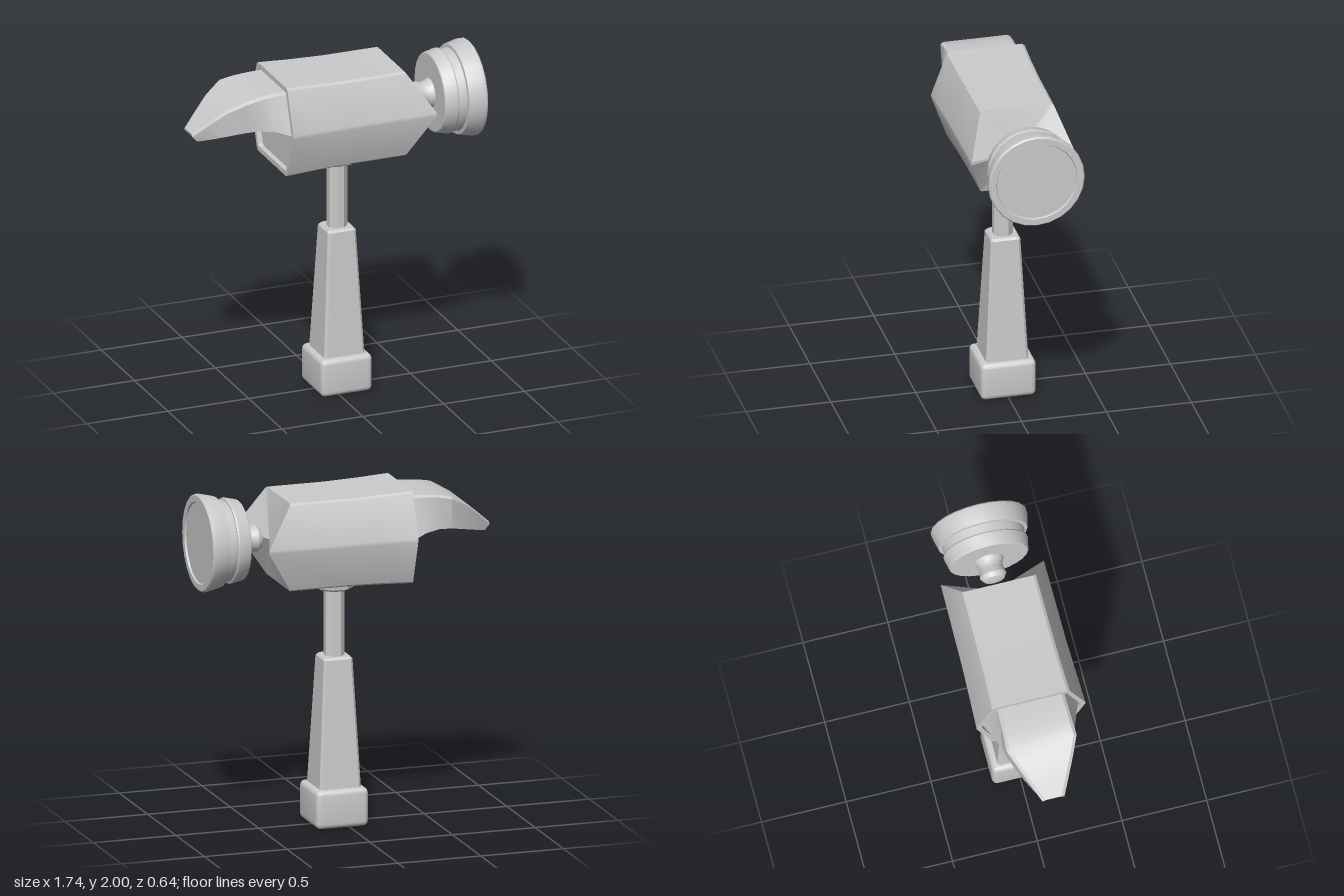
import * as THREE from 'three';
import { toCreasedNormals } from 'three/addons/utils/BufferGeometryUtils.js';
import { RoundedBoxGeometry } from 'three/addons/geometries/RoundedBoxGeometry.js';

const material = new THREE.MeshStandardMaterial({ color: 0xcccccc });
const AXIS_Y = 1.717; // height of the head's centre line
const HANDLE_X = 0.045;

function addPart(group, name, geometry, crease = 0.4) {
  const mesh = new THREE.Mesh(toCreasedNormals(geometry, crease), material);
  mesh.name = name;
  group.add(mesh);
  return mesh;
}

// Skin through closed rings of Vector3, capped at both ends.
function loft(rings) {
  const pos = [];
  const tri = (...pts) => pts.forEach((p) => pos.push(p.x, p.y, p.z));
  const n = rings[0].length;
  const centre = (ring) => ring.reduce((s, p) => s.add(p), new THREE.Vector3()).divideScalar(n);
  for (let i = 0; i < rings.length - 1; i++) {
    for (let j = 0; j < n; j++) {
      const k = (j + 1) % n;
      const [a, b, c, d] = [rings[i][j], rings[i][k], rings[i + 1][k], rings[i + 1][j]];
      tri(a, b, c);
      tri(a, c, d);
    }
  }
  const first = rings[0], last = rings[rings.length - 1];
  const c0 = centre(first), c1 = centre(last);
  for (let j = 0; j < n; j++) {
    const k = (j + 1) % n;
    tri(c0, first[k], first[j]);
    tri(c1, last[j], last[k]);
  }
  const geometry = new THREE.BufferGeometry();
  geometry.setAttribute('position', new THREE.Float32BufferAttribute(pos, 3));
  geometry.computeVertexNormals();
  return geometry;
}

// Cut every corner of a ring by a small distance.
function chamfer(ring, size) {
  return ring.flatMap((p, i) => {
    const prev = ring[(i + ring.length - 1) % ring.length];
    const next = ring[(i + 1) % ring.length];
    return [prev, next].map((q) => p.clone().add(q.clone().sub(p).setLength(size)));
  });
}

// Ring across the x axis from its +z half, listed top to bottom as [x, y, z].
function mirroredRing(half) {
  const right = half.map(([x, y, z]) => new THREE.Vector3(x, y, z));
  const left = half.map(([x, y, z]) => new THREE.Vector3(x, y, -z)).reverse();
  return [...right, ...left];
}

function hexRing(x, top, bottom, flatW, midW, midX = x) {
  return chamfer(mirroredRing([[x, top, flatW], [midX, 1.707, midW], [x, bottom, flatW]]), 0.012);
}

function squareRing(y, h) {
  const corners = [[h, h], [h, -h], [-h, -h], [-h, h]];
  return chamfer(corners.map(([x, z]) => new THREE.Vector3(HANDLE_X + x, y, z)), 0.014);
}

function lathe(profile, sides) {
  return new THREE.LatheGeometry(profile.map(([r, y]) => new THREE.Vector2(r, y)), sides);
}

export function createModel() {
  const model = new THREE.Group();
  model.name = 'hammer';

  // Hexagonal head: recessed rear panel, slight flare, wedge-shaped front
  addPart(model, 'head', loft([
    hexRing(-0.325, 1.945, 1.46, 0.208, 0.292),
    hexRing(-0.355, 1.945, 1.46, 0.208, 0.292),
    hexRing(-0.355, 1.975, 1.43, 0.225, 0.325),
    hexRing(-0.16, 1.966, 1.437, 0.218, 0.318),
    hexRing(0.04, 1.96, 1.441, 0.215, 0.312),
    hexRing(0.38, 1.96, 1.441, 0.213, 0.307, 0.545),
  ]));

  // Claw sections, tip to base: top x, top y, bottom x, bottom y, top width, bottom width
  const clawSections = [
    [-0.875, 1.71, -0.845, 1.665, 0.065, 0.065],
    [-0.79, 1.785, -0.77, 1.683, 0.112, 0.108],
    [-0.7, 1.86, -0.69, 1.705, 0.16, 0.152],
    [-0.6, 1.915, -0.6, 1.726, 0.207, 0.19],
    [-0.52, 1.93, -0.52, 1.734, 0.203, 0.213],
    [-0.43, 1.938, -0.43, 1.727, 0.2, 0.247],
    [-0.32, 1.94, -0.32, 1.69, 0.198, 0.288],
  ];
  addPart(model, 'claw', loft(clawSections.map(([tx, ty, bx, by, tw, bw]) => mirroredRing([
    [tx, ty, tw - 0.018],
    [tx, ty - 0.012, tw],
    [bx, by, bw],
  ]))));

  // Neck joining the head to the striking face
  const neck = lathe([
    [0, 0.48], [0.06, 0.495], [0.078, 0.52], [0.075, 0.54], [0.069, 0.565],
    [0.072, 0.59], [0.083, 0.61], [0.09, 0.64],
  ], 24);
  // Stepped striking drum with a shallow dished face
  const drum = lathe([
    [0, 0.62], [0.229, 0.62], [0.234, 0.625], [0.25, 0.695], [0.246, 0.704], [0.236, 0.706],
    [0.243, 0.755], [0.263, 0.757], [0.283, 0.84], [0.283, 0.86], [0.276, 0.868],
    [0.24, 0.868], [0.235, 0.858], [0, 0.858],
  ], 24);
  for (const [name, geometry] of [['neck', neck], ['strikingFace', drum]]) {
    const mesh = addPart(model, name, geometry.rotateZ(-Math.PI / 2));
    mesh.position.y = AXIS_Y;
  }

  // Collar under the head and the shaft
  const collar = lathe([
    [0, 1.38], [0.088, 1.38], [0.118, 1.396], [0.122, 1.425], [0.1, 1.445], [0, 1.445],
  ], 8).rotateY(Math.PI / 8);
  const shaft = new THREE.CylinderGeometry(0.06, 0.06, 0.48, 8)
    .rotateY(Math.PI / 8).translate(0, 1.2, 0);
  for (const [name, geometry] of [['collar', collar], ['shaft', shaft]]) {
    addPart(model, name, geometry).position.x = HANDLE_X;
  }

  // Tapered square grip with bevelled edges
  addPart(model, 'grip', loft([
    squareRing(0.2, 0.126),
    squareRing(0.977, 0.087),
    squareRing(0.99, 0.076),
  ]));

  // Rounded pommel block
  const pommel = addPart(model, 'pommel', new RoundedBoxGeometry(0.315, 0.226, 0.325, 3, 0.03));
  pommel.position.set(HANDLE_X, 0.113, 0);

  return model;
}
